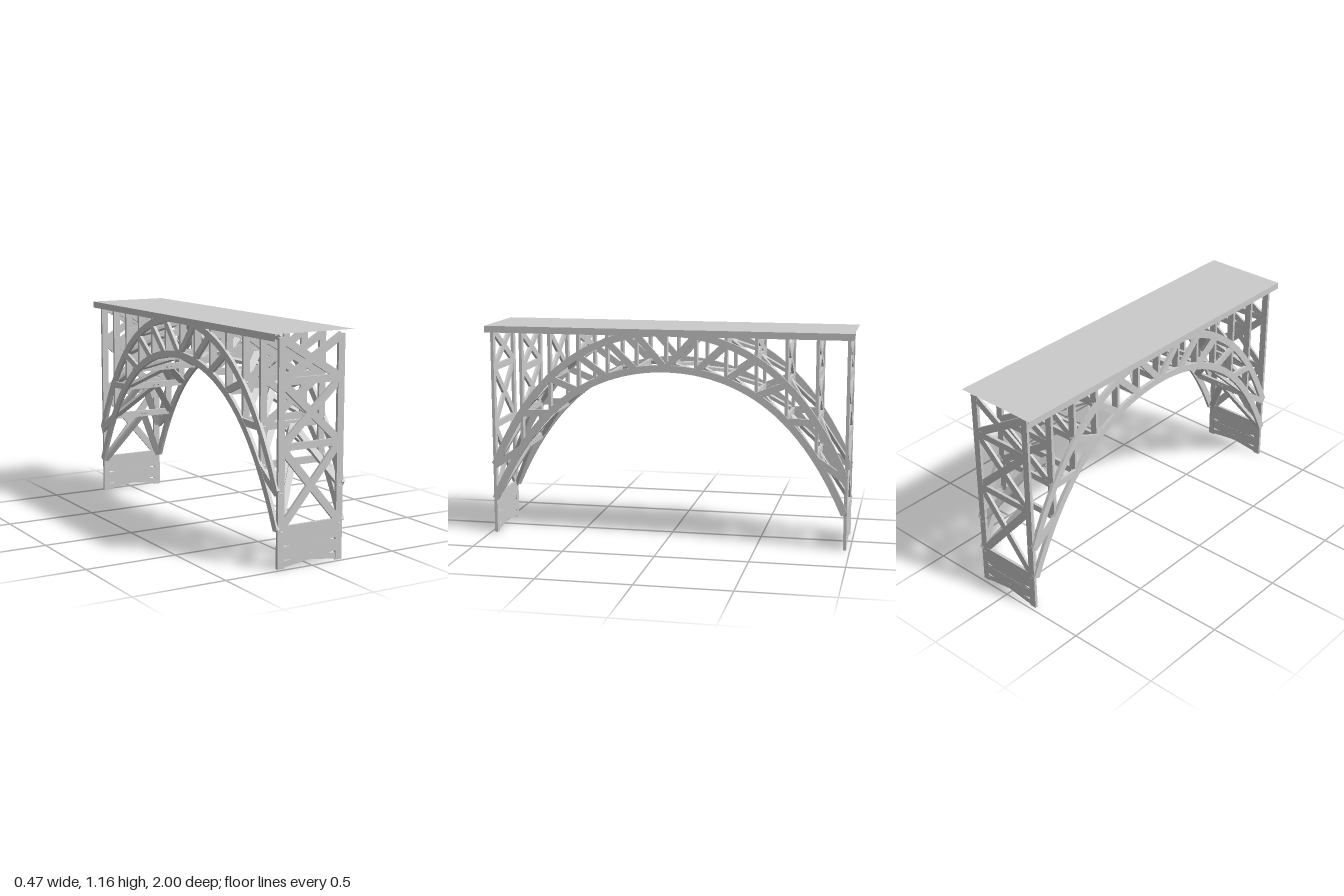
import * as THREE from 'three';

const mat = new THREE.MeshStandardMaterial({ color: 0xcccccc, flatShading: true });
const V = (x, y, z) => new THREE.Vector3(x, y, z);
const PITCH = 0.162, POST_X = 0.174, RIB_X = 0.194, BENT_TOP = 1.145;
const LOWER = 0.952, UPPER = 1.146;

// catenary height of a chord whose crown is at the given height
const chordY = (crown, z) =>
  crown - 0.765 * (Math.cosh(2.45 * z / 0.972) - 1) / (Math.cosh(2.45) - 1);

// rectangular bar from a to b; its flat face looks along normal
function bar(parent, name, a, b, width, thick, normal) {
  const dir = b.clone().sub(a);
  const mesh = new THREE.Mesh(new THREE.BoxGeometry(dir.length(), width, thick), mat);
  dir.normalize();
  const side = normal.clone().cross(dir).normalize();
  mesh.quaternion.setFromRotationMatrix(
    new THREE.Matrix4().makeBasis(dir, side, dir.clone().cross(side)));
  mesh.position.copy(a).add(b).multiplyScalar(0.5);
  mesh.name = name;
  parent.add(mesh);
}

// curved arch chord as a flat band
function chord(parent, name, crown, x) {
  const top = [], bottom = [], n = 48, end = 0.968, half = 0.019;
  for (let i = 0; i <= n; i++) {
    const z = -end + 2 * end * i / n;
    const slope = (chordY(crown, z + 0.001) - chordY(crown, z - 0.001)) / 0.002;
    const k = half / Math.hypot(1, slope), y = chordY(crown, z);
    top.push(new THREE.Vector2(z - slope * k, y + k));
    bottom.unshift(new THREE.Vector2(z + slope * k, y - k));
  }
  const geo = new THREE.ExtrudeGeometry(new THREE.Shape([...bottom, ...top]),
    { depth: 0.018, bevelEnabled: false });
  geo.translate(0, 0, -0.009).rotateY(-Math.PI / 2);
  const mesh = new THREE.Mesh(geo, mat);
  mesh.position.x = x;
  mesh.name = name;
  parent.add(mesh);
}

const FRONT = V(0, 0, 1), SIDE = V(1, 0, 0);

function strut(parent, y, z, height = 0.036) {
  bar(parent, 'strut', V(-POST_X, y, z), V(POST_X, y, z), height, 0.016, FRONT);
}

function posts(parent, y0, z) {
  for (const s of [-1, 1])
    bar(parent, 'post', V(s * POST_X, y0, z), V(s * POST_X, BENT_TOP, z), 0.038, 0.016, FRONT);
}

function crossBrace(parent, y0, y1, z, width = 0.038) {
  for (const s of [-1, 1])
    bar(parent, 'crossBrace', V(-s * POST_X, y0, z), V(s * POST_X, y1, z), width, 0.014, FRONT);
}

// tall end bent with a closely braced foot
function tower(z) {
  const g = new THREE.Group();
  g.name = 'endTower';
  posts(g, 0, z);
  crossBrace(g, 0.018, 0.066, z, 0.03);
  strut(g, 0.08, z, 0.04);
  crossBrace(g, 0.085, 0.14, z, 0.036);
  strut(g, 0.172, z, 0.086);
  const levels = [0.2, 0.607, 0.928, BENT_TOP - 0.008];
  for (let i = 0; i < 3; i++) {
    crossBrace(g, levels[i], levels[i + 1], z, 0.04);
    if (i) strut(g, levels[i], z);
  }
  return g;
}

// bent standing on the arch, braced above the upper chord
function bent(z) {
  const g = new THREE.Group();
  g.name = 'deckBent';
  const low = chordY(LOWER, z), up = chordY(UPPER, z);
  posts(g, low, z);
  strut(g, low, z);
  if (z === 0) return g;
  strut(g, Math.min(up, BENT_TOP - 0.018), z);
  const levels = up < 0.75 ? [up, 0.928, BENT_TOP - 0.015] : [up, BENT_TOP - 0.015];
  for (let i = 0; i + 1 < levels.length; i++) {
    if (levels[i + 1] > levels[i]) crossBrace(g, levels[i], levels[i + 1], z);
    if (i) strut(g, levels[i], z);
  }
  return g;
}

export function createModel() {
  const model = new THREE.Group();

  // deck: a hollow box open at both ends
  const deckGeo = new THREE.BoxGeometry(0.466, 0.036, 2);
  deckGeo.setIndex(Array.from(deckGeo.index.array).slice(0, 24));
  deckGeo.clearGroups();
  const deck = new THREE.Mesh(deckGeo, mat);
  deck.position.y = 1.147;
  deck.name = 'deck';
  model.add(deck);

  // towers and bents
  for (let i = -6; i <= 6; i++)
    model.add(Math.abs(i) === 6 ? tower(i * PITCH) : bent(i * PITCH));

  // arch ribs with web diagonals
  for (const s of [-1, 1]) {
    const rib = new THREE.Group();
    rib.name = s > 0 ? 'leftArchRib' : 'rightArchRib';
    chord(rib, 'lowerChord', LOWER, s * RIB_X);
    chord(rib, 'upperChord', UPPER, s * RIB_X);
    for (const e of [-1, 1])
      for (let i = 0; i < 6; i++) {
        const z0 = e * i * PITCH, z1 = e * (i + 1) * PITCH;
        bar(rib, 'webDiagonal', V(s * RIB_X, chordY(LOWER, z0), z0),
          V(s * RIB_X, chordY(UPPER, z1), z1), 0.036, 0.016, SIDE);
      }
    model.add(rib);
  }

  // chevron bracing between the ribs, in the plane of each chord
  const lateral = new THREE.Group();
  lateral.name = 'lateralBracing';
  for (const crown of [LOWER, UPPER])
    for (const e of [-1, 1])
      for (let i = 0; i < 6; i++) {
        const z0 = e * i * PITCH, z1 = e * (i + 1) * PITCH;
        const y0 = chordY(crown, z0), y1 = chordY(crown, z1);
        const normal = V(0, z1 - z0, y0 - y1).normalize();
        for (const s of [-1, 1])
          bar(lateral, 'chevron', V(0, y0, z0), V(s * 0.185, y1, z1), 0.036, 0.018, normal);
      }
  model.add(lateral);

  return model;
}
